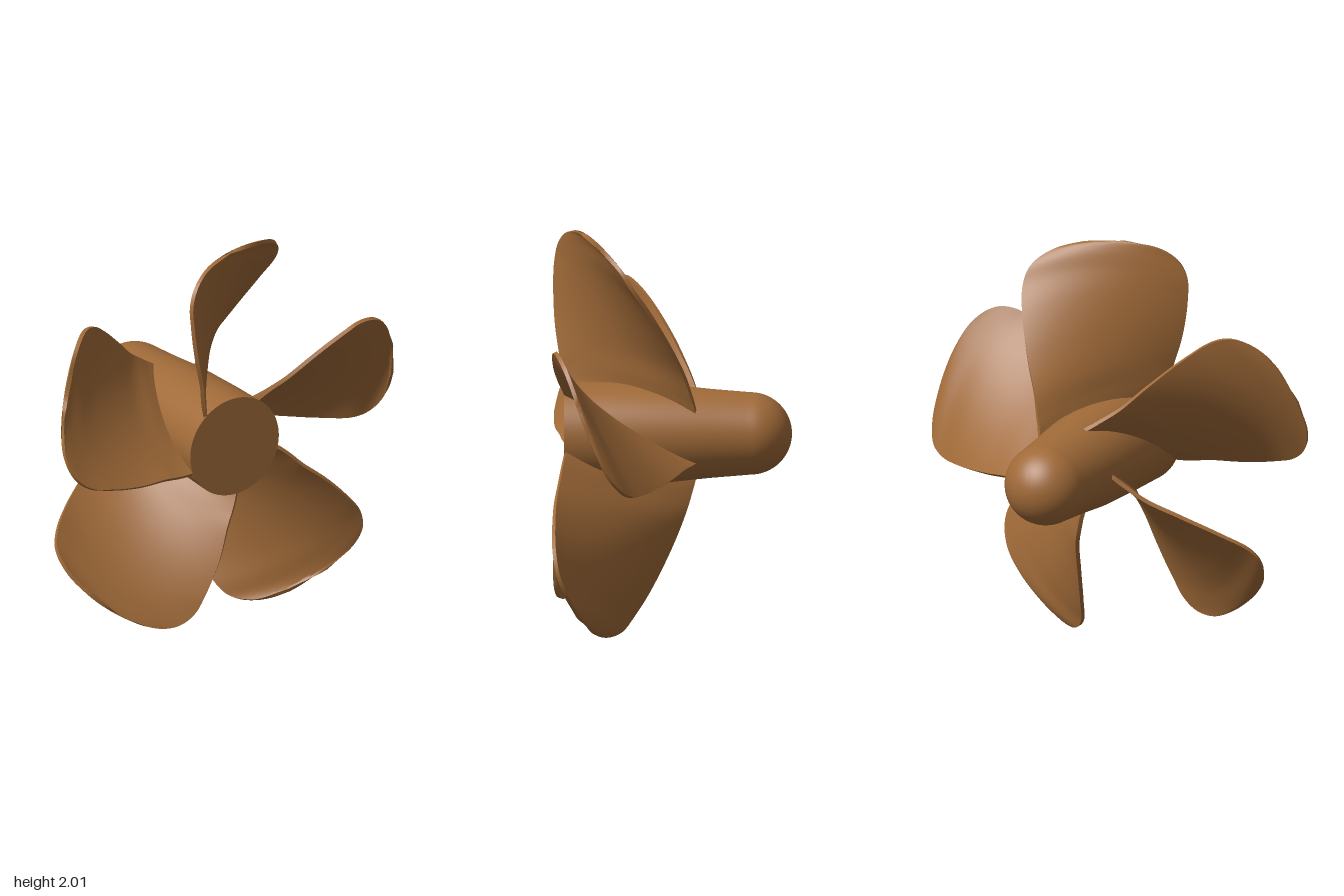
import * as THREE from 'three';
import { toCreasedNormals } from 'three/addons/utils/BufferGeometryUtils.js';

const AXIS = new THREE.Vector3(-0.015, 0.975, 0);
const material = new THREE.MeshStandardMaterial({ color: 0xa06a38 });

// Blade edges, root to tip, as [radius, degrees clockwise from straight up, z]
const LEADING = [
  [0.235, -42, 0.53], [0.342, -33.7, 0.548], [0.427, -28.7, 0.562], [0.579, -25, 0.582],
  [0.775, -20.8, 0.588], [0.871, -18.7, 0.582], [0.947, -15, 0.565], [0.997, -8.9, 0.525], [1.015, 0.8, 0.465],
];
const TRAILING = [
  [0.215, 55, -0.12], [0.28, 45, -0.1], [0.4, 36.5, -0.06], [0.57, 33.5, 0.01],
  [0.787, 31, 0.12], [0.911, 29.2, 0.2], [0.977, 26.4, 0.25], [1.013, 21.1, 0.32], [1.018, 12.2, 0.4],
];

const edgeCurve = (points) => new THREE.CatmullRomCurve3(
  points.map(([r, deg, z]) => new THREE.Vector3(r, THREE.MathUtils.degToRad(deg), z)));

// A helical sheet between the two edges, thickened along its normals
function bladeGeometry(across = 24, along = 48, half = 0.01) {
  const lead = edgeCurve(LEADING), trail = edgeCurve(TRAILING);
  const sheet = (u, v) => {
    const p = lead.getPoint(v).lerp(trail.getPoint(v), u);
    return new THREE.Vector3(p.x * Math.sin(p.y), p.x * Math.cos(p.y), p.z);
  };
  const normal = (u, v) => {
    const e = 0.004, lo = (t) => Math.max(0, t - e), hi = (t) => Math.min(1, t + e);
    const du = sheet(hi(u), v).sub(sheet(lo(u), v));
    const dv = sheet(u, hi(v)).sub(sheet(u, lo(v)));
    return du.cross(dv).normalize();
  };

  // Closed cross-section loops: front face one way, back face the other
  const positions = [], index = [];
  const ring = 2 * (across + 1);
  for (let j = 0; j <= along; j++) {
    for (let k = 0; k < ring; k++) {
      const front = k <= across;
      const u = (front ? k : ring - 1 - k) / across, v = j / along;
      const p = sheet(u, v).addScaledVector(normal(u, v), front ? half : -half);
      positions.push(p.x, p.y, p.z);
    }
  }
  for (let j = 0; j < along; j++) {
    for (let k = 0; k < ring; k++) {
      const a = j * ring + k, b = j * ring + (k + 1) % ring;
      index.push(a, b, b + ring, a, b + ring, a + ring);
    }
  }
  // Tip rim
  const tip = along * ring;
  for (let k = 0; k < across; k++) {
    const a = tip + k, b = a + 1, c = tip + ring - 2 - k, d = c + 1;
    index.push(a, b, c, a, c, d);
  }

  const geometry = new THREE.BufferGeometry();
  geometry.setAttribute('position', new THREE.Float32BufferAttribute(positions, 3));
  geometry.setIndex(index);
  return toCreasedNormals(geometry, 0.8);
}

// Tapered hub with a flat front and a domed rear
function hubGeometry() {
  const profile = [[0, -0.54], [0.26, -0.54], [0.254, -0.3], [0.241, 0], [0.222, 0.18], [0.207, 0.36]]
    .map(([r, y]) => new THREE.Vector2(r, y));
  for (let i = 0; i <= 16; i++) {
    const a = (i / 16) * Math.PI / 2;
    profile.push(new THREE.Vector2(i === 16 ? 0 : 0.205 * Math.cos(a), 0.385 + 0.207 * Math.sin(a)));
  }
  return toCreasedNormals(new THREE.LatheGeometry(profile, 64).rotateX(-Math.PI / 2), 0.8);
}

export function createModel() {
  const model = new THREE.Group();
  model.name = 'propeller';

  const rotor = new THREE.Group();
  rotor.name = 'rotor';
  rotor.position.copy(AXIS);
  model.add(rotor);

  const hub = new THREE.Mesh(hubGeometry(), material);
  hub.name = 'hub';
  rotor.add(hub);

  // Five equal blades
  const geometry = bladeGeometry();
  for (let i = 0; i < 5; i++) {
    const blade = new THREE.Mesh(geometry, material);
    blade.name = `blade${i + 1}`;
    blade.rotation.z = (i * 2 * Math.PI) / 5;
    rotor.add(blade);
  }
  return model;
}
